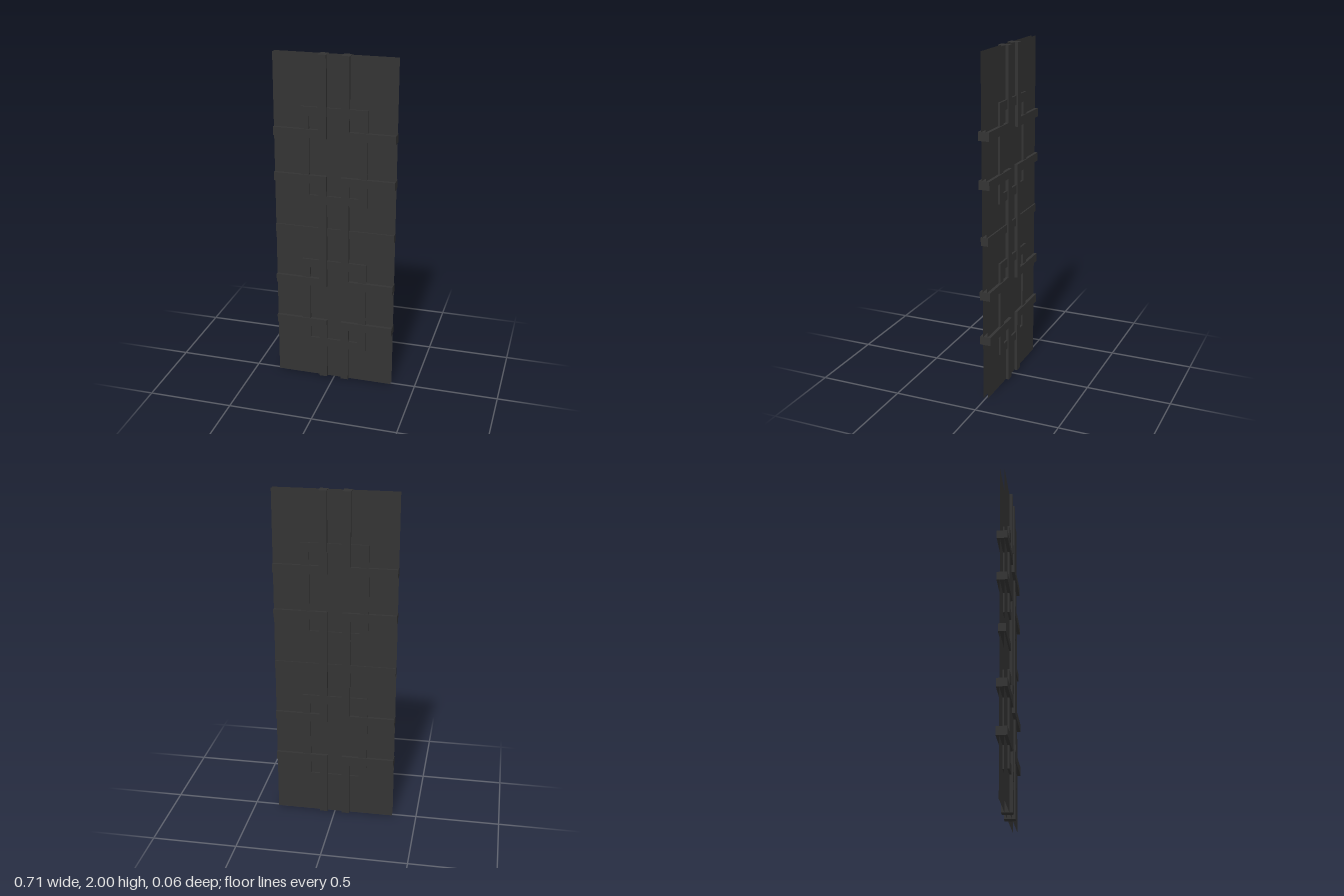
import * as THREE from 'three';

const material = new THREE.MeshStandardMaterial({ color: 0x333333, side: THREE.DoubleSide });
const HALF = 0.355;           // half width of the panel
const IN = 0.043, OUT = 0.09; // inner and outer x of the upright bars
const BAR = 0.0315;           // half depth of the main bars
const THIN = 0.0245;          // half depth of the frames and middle rail
const PANE = 0.013;           // offset of each sheet from the centre

// Extrude an outline symmetrically about z = 0
function slab(name, points, halfDepth, hole) {
  const shape = new THREE.Shape(points.map(([x, y]) => new THREE.Vector2(x, y)));
  if (hole) shape.holes.push(new THREE.Path(hole.map(([x, y]) => new THREE.Vector2(x, y))));
  const geometry = new THREE.ExtrudeGeometry(shape, { depth: halfDepth * 2, bevelEnabled: false });
  geometry.translate(0, 0, -halfDepth);
  const mesh = new THREE.Mesh(geometry, material);
  mesh.name = name;
  return mesh;
}

const rect = (w, y0, y1) => [[-w, y0], [w, y0], [w, y1], [-w, y1]];

export function createModel() {
  const group = new THREE.Group();
  group.name = 'latticePanel';

  // Two thin sheets with a gap between them
  for (const side of [1, -1]) {
    const pane = new THREE.Mesh(new THREE.PlaneGeometry(HALF * 2, 2), material);
    pane.name = side > 0 ? 'frontPane' : 'backPane';
    pane.position.set(0, 1, side * PANE);
    if (side < 0) pane.rotation.y = Math.PI;
    group.add(pane);
  }

  // Angled bars, mirrored left and right
  for (const s of [1, -1]) {
    const label = s > 0 ? 'left' : 'right';
    const at = (points) => points.map(([x, y]) => [x * s, y]);
    group.add(slab(label + 'UpperBar', at([
      [IN, 2], [IN, 1.525], [HALF, 1.525], [HALF, 1.575], [OUT, 1.575], [OUT, 2],
    ]), BAR));
    group.add(slab(label + 'MiddleBar', at([
      [IN, 1.305], [IN, 0.61], [HALF, 0.61], [HALF, 0.66], [OUT, 0.66],
      [OUT, 1.255], [HALF, 1.255], [HALF, 1.305],
    ]), BAR));
    group.add(slab(label + 'LowerBar', at([
      [IN, 0], [IN, 0.388], [HALF, 0.388], [HALF, 0.338], [OUT, 0.338], [OUT, 0],
    ]), BAR));
  }

  // Rectangular frames behind the bars
  for (const [name, y0, y1] of [['upperFrame', 1.132, 1.704], ['lowerFrame', 0.207, 0.778]]) {
    group.add(slab(name, rect(0.194, y0, y1), THIN, rect(0.146, y0 + 0.052, y1 - 0.052)));
  }

  // Full-width rail across the middle
  group.add(slab('middleRail', rect(HALF, 0.935, 0.983), 0.022));

  return group;
}
